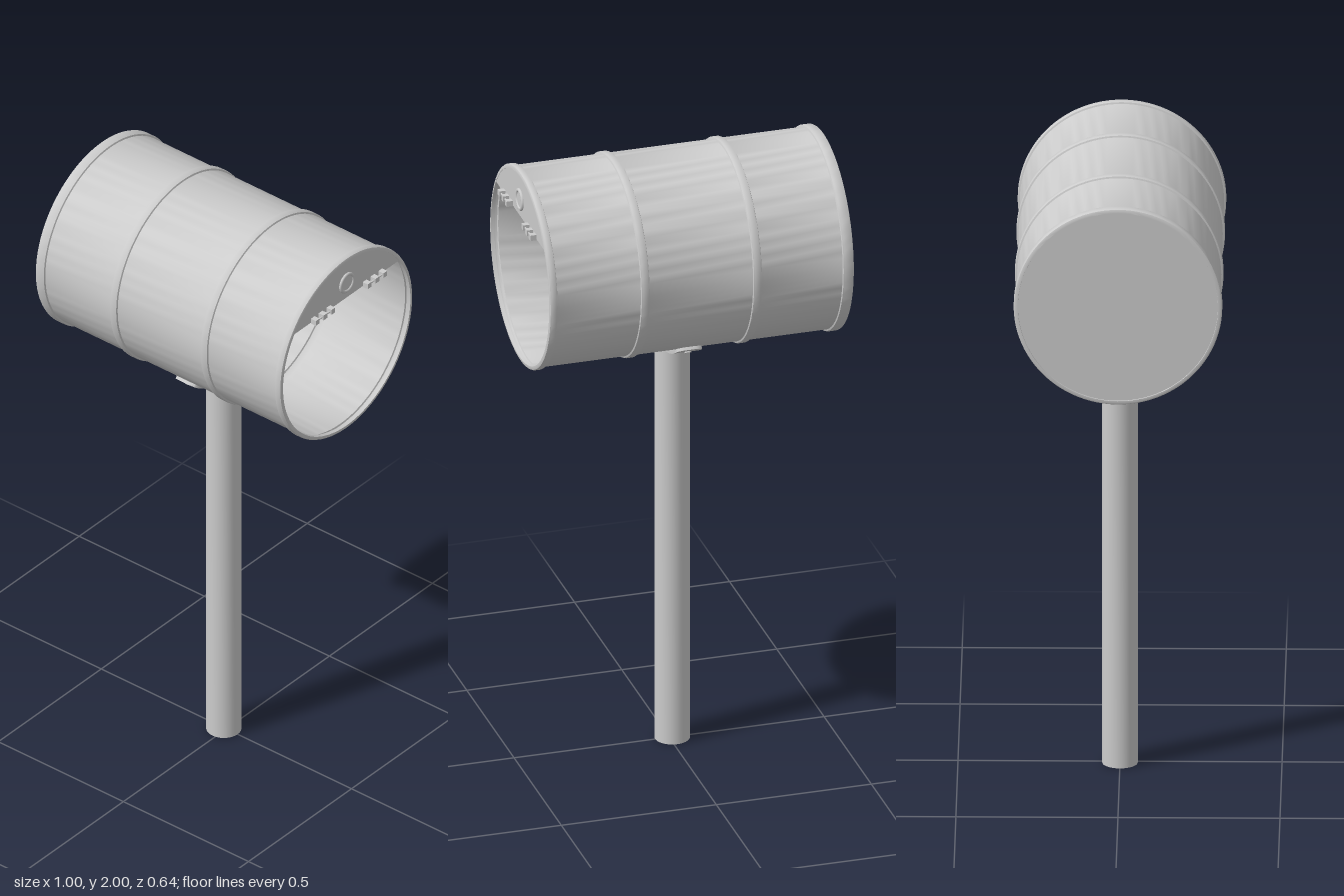
import * as THREE from 'three';
import { toCreasedNormals } from 'three/addons/utils/BufferGeometryUtils.js';

const R = 0.315;        // barrel radius
const AXIS_Y = 1.679;   // height of the barrel axis
const POLE_X = -0.01;

const grey = new THREE.MeshStandardMaterial({ color: 0xcccccc });
const greyDouble = new THREE.MeshStandardMaterial({ color: 0xcccccc, side: THREE.DoubleSide });

function add(parent, name, geometry, material = grey) {
  const mesh = new THREE.Mesh(geometry, material);
  mesh.name = name;
  parent.add(mesh);
  return mesh;
}

const lathe = (points, segments) => toCreasedNormals(
  new THREE.LatheGeometry(points.map(([r, y]) => new THREE.Vector2(r, y)), segments), 0.6);

// Rounded hoop standing proud of the barrel between two stations
const bead = (a, b) => [[R, a], [R + 0.005, a + 0.002], [R + 0.007, a + 0.006],
  [R + 0.007, b - 0.006], [R + 0.005, b - 0.002], [R, b]];

// Strap: a segmented slab with rounded corners, bent around the barrel
function strapGeometry() {
  const half = 0.64, r = 0.318, width = 0.085, corner = 0.022;
  const g = new THREE.BoxGeometry(width, 0.01, 2, 2, 1, 60);
  const p = g.attributes.position;
  for (let i = 0; i < p.count; i++) {
    const t = p.getZ(i);
    const fromEnd = (1 - Math.abs(t)) * half * r;
    const d = Math.max(0, corner - fromEnd);
    const inset = corner - Math.sqrt(corner * corner - d * d);
    const x = p.getX(i) * (1 - 2 * inset / width);
    const radius = r + 0.004 - p.getY(i);
    p.setXYZ(i, x, -radius * Math.cos(t * half), radius * Math.sin(t * half));
  }
  // bending flips the slab's thickness, so reverse the winding
  const index = g.index.array;
  for (let i = 0; i < index.length; i += 3) {
    [index[i], index[i + 1]] = [index[i + 1], index[i]];
  }
  // keep the slab from mirroring its faces: restore outward order by testing the first side
  g.computeVertexNormals();
  return orientOutward(g);
}

// Reverse all faces if the enclosed volume comes out negative
function orientOutward(g) {
  const p = g.attributes.position, idx = g.index.array;
  const [a, b, c] = [new THREE.Vector3(), new THREE.Vector3(), new THREE.Vector3()];
  let volume = 0;
  for (let i = 0; i < idx.length; i += 3) {
    a.fromBufferAttribute(p, idx[i]);
    b.fromBufferAttribute(p, idx[i + 1]);
    c.fromBufferAttribute(p, idx[i + 2]);
    volume += a.dot(b.cross(c));
  }
  if (volume < 0) {
    for (let i = 0; i < idx.length; i += 3) [idx[i], idx[i + 1]] = [idx[i + 1], idx[i]];
  }
  return toCreasedNormals(g, 0.6);
}

export function createModel() {
  const model = new THREE.Group();
  model.name = 'barrelOnPole';

  // Pole: hollow pipe
  const pole = add(model, 'pole', lathe(
    [[0.048, 1.36], [0.048, 0], [0.055, 0], [0.055, 1.375], [0, 1.375]], 32), greyDouble);
  pole.position.x = POLE_X;

  const barrel = new THREE.Group();
  barrel.name = 'barrel';
  barrel.position.y = AXIS_Y;
  model.add(barrel);

  // Barrel wall with rims and rolling hoops
  const wall = add(barrel, 'barrelWall', lathe([
    [0.307, -0.49], [0.309, -0.5], ...bead(-0.5, -0.464), ...bead(-0.204, -0.175),
    ...bead(0.158, 0.187), ...bead(0.455, 0.481), [0.309, 0.481], [0.307, 0.47],
  ], 96), greyDouble);
  wall.rotation.z = -Math.PI / 2;

  // Closed end
  const end = add(barrel, 'closedEnd', new THREE.CylinderGeometry(0.312, 0.312, 0.006, 96));
  end.rotation.z = Math.PI / 2;
  end.position.x = -0.494;

  // Fixed upper part of the lid, a circle segment above the chord
  const chord = 0.175, lidR = 0.312;
  const a = Math.asin(chord / lidR);
  const segment = new THREE.Shape().absarc(0, 0, lidR, a, Math.PI - a, false);
  segment.closePath();
  const lid = add(barrel, 'lidSegment', new THREE.ExtrudeGeometry(segment,
    { depth: 0.006, bevelEnabled: false, curveSegments: 48 }));
  lid.rotation.y = Math.PI / 2;
  lid.position.x = 0.474;

  // Bung: raised ring with a plug inside
  const ring = add(barrel, 'bungRing', new THREE.TorusGeometry(0.03, 0.006, 10, 36));
  ring.rotation.y = Math.PI / 2;
  ring.position.set(0.481, 0.232, 0);
  const plug = add(barrel, 'bungPlug', new THREE.CylinderGeometry(0.028, 0.028, 0.004, 36));
  plug.rotation.z = Math.PI / 2;
  plug.position.set(0.481, 0.232, 0);

  // Two hinges, each three knuckles on a pin
  for (const side of [1, -1]) {
    const hinge = new THREE.Group();
    hinge.name = 'hinge';
    hinge.position.set(0.49, chord + 0.006, side * 0.126);
    barrel.add(hinge);
    for (const z of [-0.038, 0, 0.038]) {
      add(hinge, 'hingeKnuckle', new THREE.BoxGeometry(0.02, 0.018, 0.018)).position.z = z;
    }
    const pin = add(hinge, 'hingePin', new THREE.CylinderGeometry(0.003, 0.003, 0.09, 12));
    pin.rotation.x = Math.PI / 2;
    pin.position.x = 0.003;
  }

  // Mounting strap under the barrel, bolted at both ends
  const strap = add(barrel, 'mountingStrap', strapGeometry());
  strap.position.x = POLE_X;
  for (const side of [1, -1]) {
    const t = side * 0.54, r = 0.328;
    const bolt = add(barrel, 'strapBolt', new THREE.CylinderGeometry(0.011, 0.011, 0.006, 16));
    bolt.position.set(POLE_X, -r * Math.cos(t), r * Math.sin(t));
    bolt.rotation.x = -t;
  }
  return model;
}
